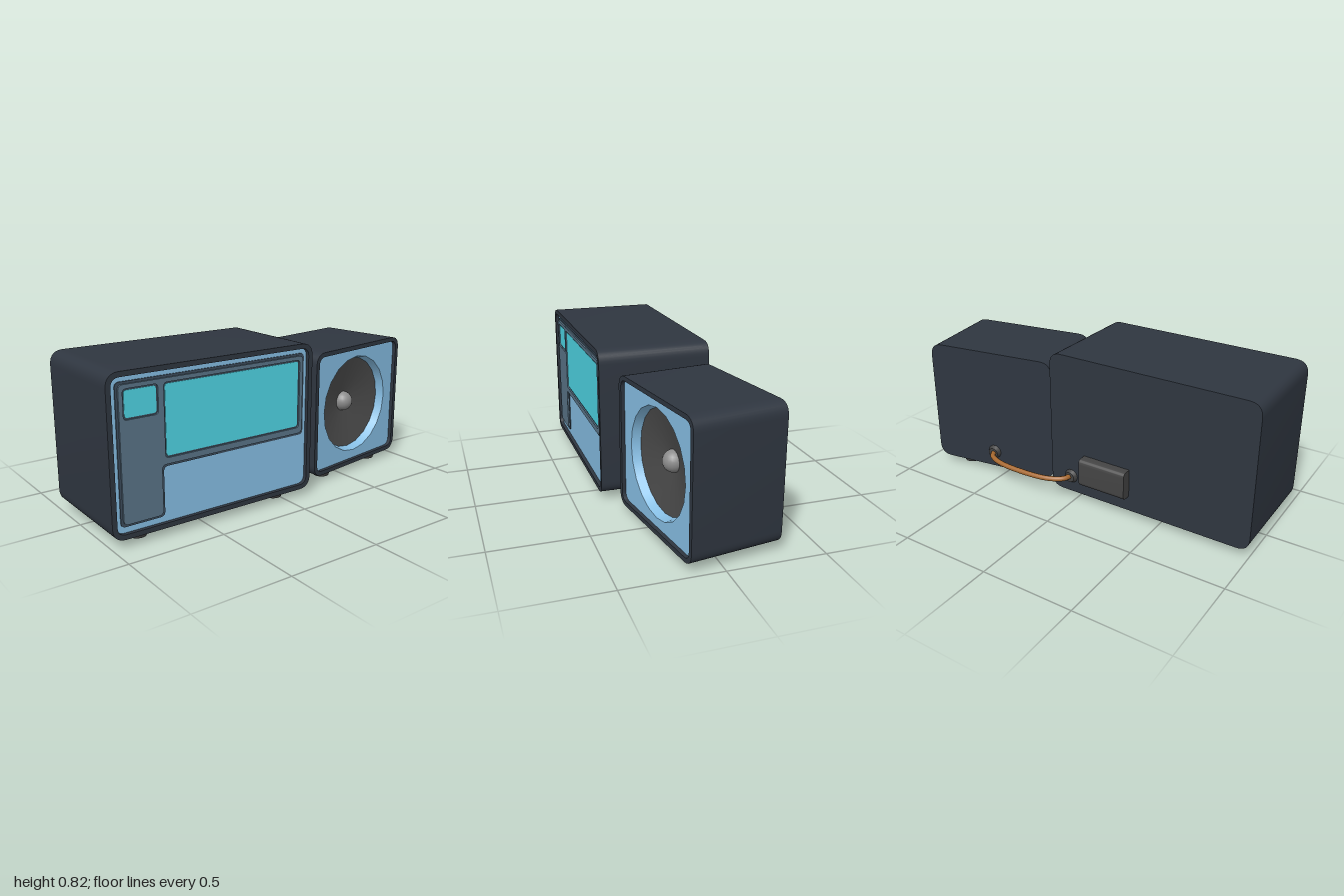
import * as THREE from 'three';
import { toCreasedNormals } from 'three/addons/utils/BufferGeometryUtils.js';

const mat = (color) => new THREE.MeshStandardMaterial({ color, side: THREE.DoubleSide });
const M = {
  casing: mat(0x2f3640), panel: mat(0x87bfe5), trim: mat(0x5a7488), bezel: mat(0x3c4c5b),
  screen: mat(0x4fd6e6), rubber: mat(0x444444), cone: mat(0x4a4a4a), hub: mat(0x8c8c8c),
  cable: mat(0xa8692f),
};

function add(parent, name, geometry, material, x = 0, y = 0, z = 0) {
  const mesh = new THREE.Mesh(geometry, material);
  mesh.name = name;
  mesh.position.set(x, y, z);
  parent.add(mesh);
  return mesh;
}

// Closed outline through corner points, each corner rounded by r
function rounded(points, r, Type = THREE.Shape) {
  const s = new Type();
  const v = points.map(([x, y]) => new THREE.Vector2(x, y));
  v.forEach((p, i) => {
    const prev = v[(i + v.length - 1) % v.length], next = v[(i + 1) % v.length];
    const a = prev.clone().sub(p).setLength(r).add(p);
    const b = next.clone().sub(p).setLength(r).add(p);
    if (i) s.lineTo(a.x, a.y); else s.moveTo(a.x, a.y);
    s.quadraticCurveTo(p.x, p.y, b.x, b.y);
  });
  s.closePath();
  return s;
}
const rect = (x0, y0, x1, y1) => [[x0, y0], [x1, y0], [x1, y1], [x0, y1]];
const roundRect = (x0, y0, x1, y1, r, Type) => rounded(rect(x0, y0, x1, y1), r, Type);

function extrude(shape, depth, bevel = 0) {
  return toCreasedNormals(new THREE.ExtrudeGeometry(shape, {
    depth: depth - bevel, curveSegments: 8, bevelEnabled: bevel > 0,
    bevelThickness: bevel, bevelSize: bevel, bevelOffset: -bevel, bevelSegments: 1,
  }), 0.6);
}

// Open-fronted cabinet: tube-like shell, back plate and four feet
function cabinet(name, w, y0, y1, d, wall, footX, footZ) {
  const g = new THREE.Group();
  g.name = name;
  const h = w / 2;
  const shell = roundRect(-h, y0, h, y1, 0.07);
  shell.holes.push(roundRect(-h + wall, y0 + wall, h - wall, y1 - wall, 0.045, THREE.Path));
  add(g, 'shell', extrude(shell, d), M.casing, 0, 0, -d / 2);
  add(g, 'backPlate', extrude(roundRect(-h, y0, h, y1, 0.07), 0.03), M.casing, 0, 0, -d / 2);
  for (const x of [-footX, footX]) for (const z of [-footZ, footZ])
    add(g, 'foot', new THREE.CylinderGeometry(0.058, 0.043, 0.045, 16), M.rubber, x, 0.0225, z);
  return g;
}

function radio() {
  const g = cabinet('radio', 1.155, 0.04, 0.82, 0.59, 0.025, 0.405, 0.2);
  g.position.set(-0.4225, 0, 0.06);
  const face = new THREE.Group();
  face.name = 'radioFace';
  face.position.set(0.4225, 0, 0.275);
  g.add(face);

  add(face, 'frontPanel', extrude(roundRect(-0.975, 0.065, 0.13, 0.795, 0.045), 0.02), M.panel, 0, 0, -0.02);

  // L-shaped trim with two screen windows
  const corners = (i) => [[-0.95 + i, 0.095 + i], [-0.72 - i, 0.095 + i], [-0.72 - i, 0.34 + i],
    [0.11 - i, 0.34 + i], [0.11 - i, 0.77 - i], [-0.95 + i, 0.77 - i]];
  const windows = [
    ['largeScreen', -0.705, 0.39, 0.07, 0.73],
    ['smallScreen', -0.91, 0.605, -0.75, 0.73],
  ];
  add(face, 'trimEdge', extrude(rounded(corners(0), 0.025), 0.005), M.bezel);
  const plate = rounded(corners(0.012), 0.025);
  for (const [, x0, y0, x1, y1] of windows)
    plate.holes.push(roundRect(x0 - 0.008, y0 - 0.008, x1 + 0.008, y1 + 0.008, 0.02, THREE.Path));
  add(face, 'trimPlate', extrude(plate, 0.013), M.trim);
  for (const [name, x0, y0, x1, y1] of windows)
    add(face, name, extrude(roundRect(x0, y0, x1, y1, 0.015), 0.008), M.screen);

  // Power block on the back
  const block = add(g, 'powerBlock', extrude(roundRect(-0.06, 0.125, 0.06, 0.28, 0.025), 0.275), M.rubber, 0.0925, 0, -0.29);
  block.rotation.y = Math.PI / 2;
  block.position.x = -0.33 + 0.4225;
  return g;
}

function speaker() {
  const g = cabinet('speaker', 0.749, 0.04, 0.733, 0.476, 0.024, 0.213, 0.155);
  g.position.set(0.5875, 0, -0.0125);
  g.rotation.y = 0.154;
  const cy = 0.388, r = 0.277, front = 0.218;

  // Front panel with round opening
  const panel = roundRect(-0.352, 0.063, 0.352, 0.71, 0.045);
  const hole = new THREE.Path();
  for (let i = 0; i <= 20; i++) {
    const a = i / 20 * Math.PI * 2;
    hole[i ? 'lineTo' : 'moveTo'](r * Math.cos(a), cy + r * Math.sin(a));
  }
  panel.holes.push(hole);
  add(g, 'frontPanel', extrude(panel, 0.02), M.panel, 0, 0, front - 0.02);

  // Tapered surround, cone and centre cap
  const lathe = (name, pts, m) => {
    add(g, name, new THREE.LatheGeometry(pts.map(([x, y]) => new THREE.Vector2(x, y)), 20), m, 0, cy, front)
      .rotation.set(Math.PI / 2, Math.PI / 2, 0);
  };
  lathe('surround', [[0.263, -0.045], [r, 0]], M.panel);
  lathe('cone', [[0, -0.095], [0.06, -0.09], [0.263, -0.045]], M.cone);
  add(g, 'centreCap', new THREE.SphereGeometry(0.056, 20, 14), M.hub, 0, cy, front - 0.09);
  return g;
}

export function createModel() {
  const model = new THREE.Group();
  model.name = 'radioWithSpeaker';
  model.add(radio(), speaker());

  // Cable sockets
  for (const [x, z, turn] of [[0.03, -0.242, 0], [0.552, -0.256, 0.154]]) {
    const socket = new THREE.Group();
    socket.name = 'cableSocket';
    socket.position.set(x, 0.132, z);
    socket.rotation.y = turn;
    model.add(socket);
    add(socket, 'socketRing', new THREE.CylinderGeometry(0.042, 0.028, 0.026, 16), M.rubber).rotation.x = Math.PI / 2;
  }

  // Cable joining the two cabinets
  const path = new THREE.CatmullRomCurve3([
    [0.03, 0.135, -0.24], [0.045, 0.135, -0.285], [0.12, 0.132, -0.325], [0.3, 0.127, -0.338],
    [0.46, 0.128, -0.325], [0.53, 0.132, -0.295], [0.555, 0.133, -0.25],
  ].map((p) => new THREE.Vector3(...p)));
  add(model, 'cable', new THREE.TubeGeometry(path, 40, 0.014, 8), M.cable);
  return model;
}
